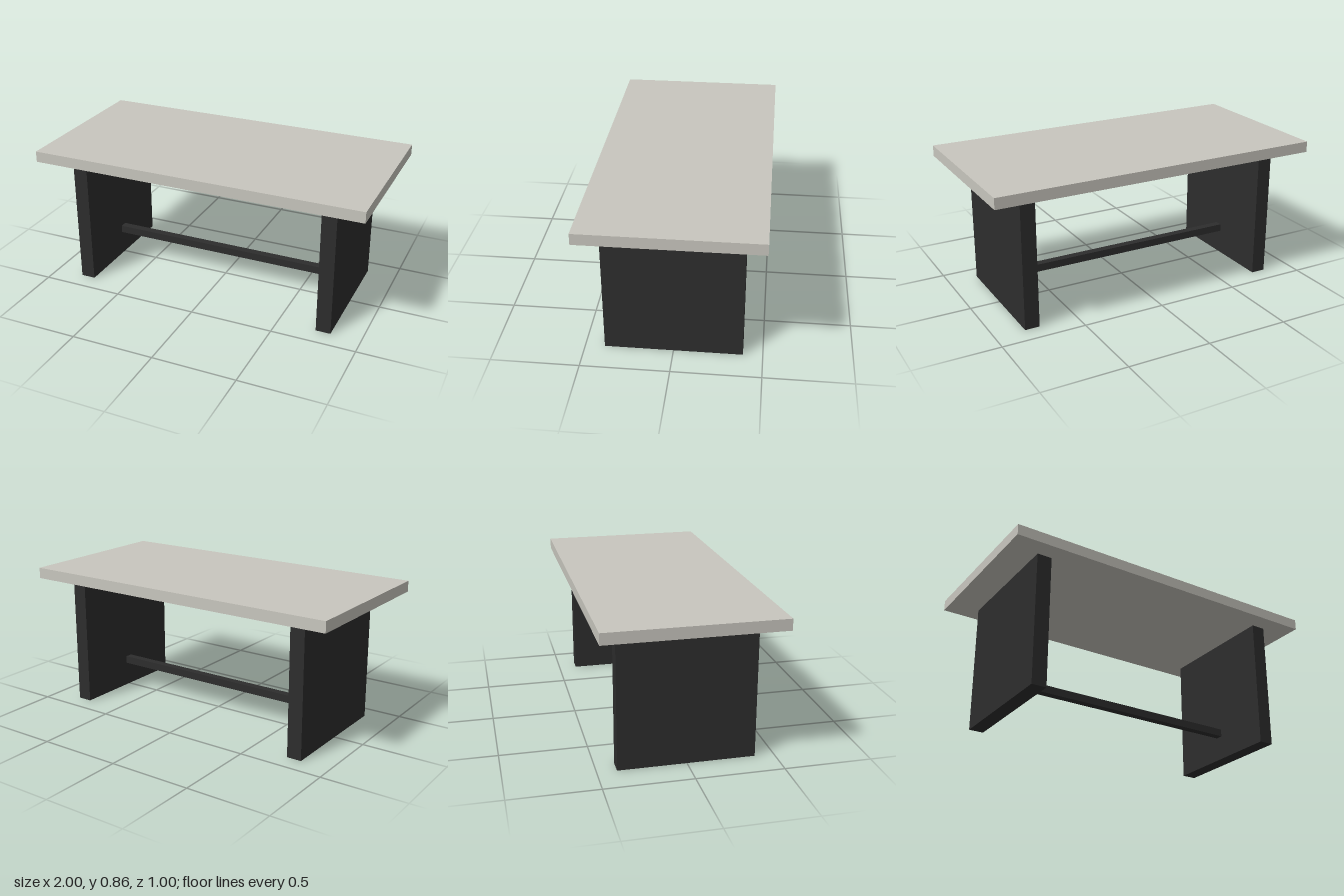
import * as THREE from 'three';

export function createModel() {
  const group = new THREE.Group();
  const paleStone = new THREE.MeshStandardMaterial({ color: 0xc8c6be });
  paleStone.name = 'paleStone';
  const charcoal = new THREE.MeshStandardMaterial({ color: 0x2d2d2d });
  charcoal.name = 'charcoal';

  // Box placed by its centre in x and its base height in y
  function addBox(name, material, [w, h, d], x, baseY) {
    const mesh = new THREE.Mesh(new THREE.BoxGeometry(w, h, d), material);
    mesh.name = name;
    mesh.position.set(x, baseY + h / 2, 0);
    group.add(mesh);
  }

  // Slab top
  addBox('tableTop', paleStone, [2, 0.065, 1], 0, 0.79);

  // Panel legs, mirrored
  for (const [name, side] of [['leftPanelLeg', 1], ['rightPanelLeg', -1]]) {
    addBox(name, charcoal, [0.088, 0.79, 0.778], side * 0.776, 0);
  }

  // Square stretcher between the panels
  addBox('stretcher', charcoal, [1.464, 0.046, 0.046], 0, 0.15);

  return group;
}
